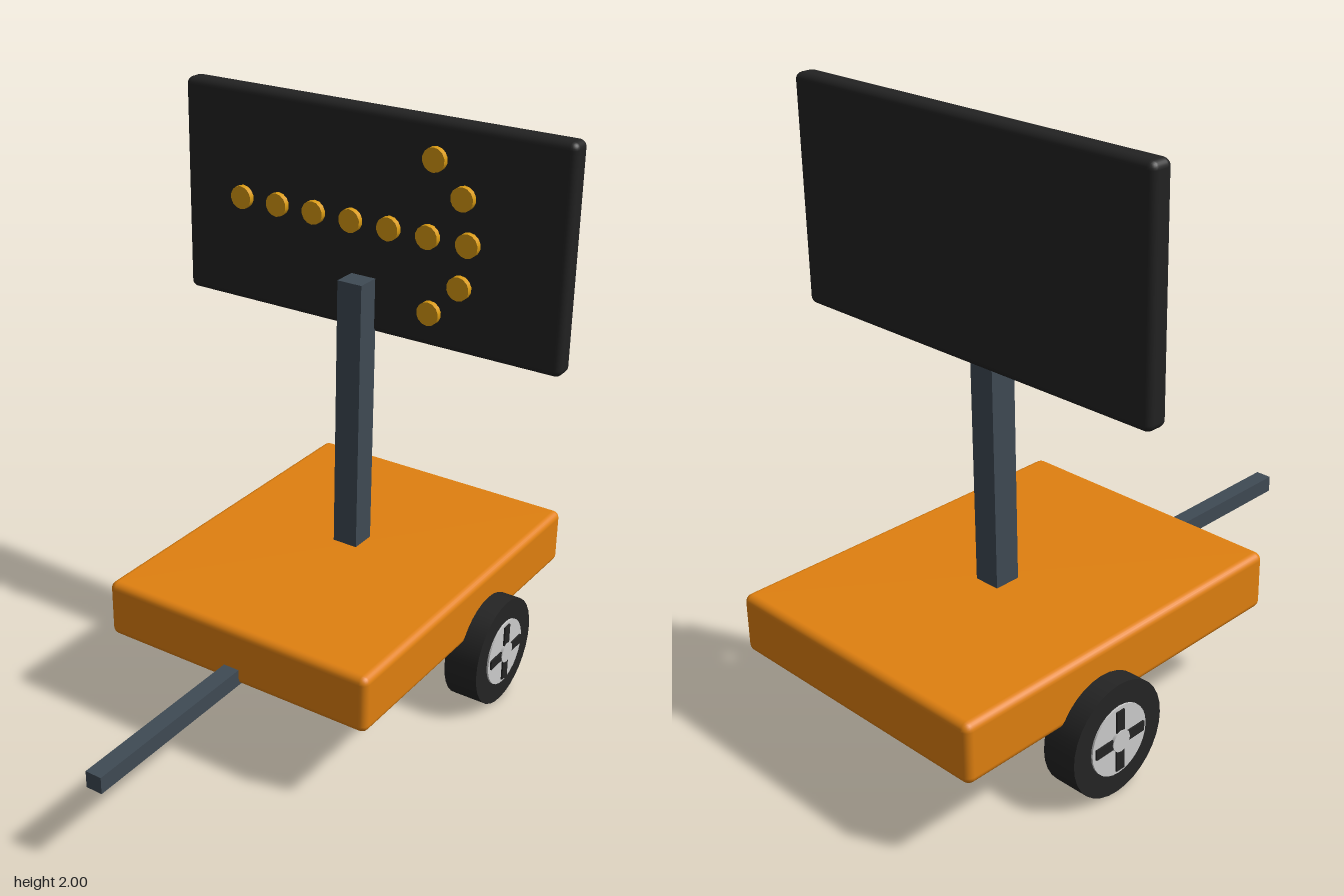
import * as THREE from 'three';
import { RoundedBoxGeometry } from 'three/addons/geometries/RoundedBoxGeometry.js';

const material = (name, color) => {
  const m = new THREE.MeshStandardMaterial({ color });
  m.name = name;
  return m;
};

export function createModel() {
  const orange = material('safety orange', 0xe08010);
  const steel = material('slate steel', 0x3f4a54);
  const black = material('panel black', 0x222222);
  const rubber = material('tyre rubber', 0x242424);
  const silver = material('wheel silver', 0xcccccc);
  const amber = material('lamp amber', 0xd99a12);

  const model = new THREE.Group();
  model.name = 'arrowBoardTrailer';

  const add = (parent, name, geometry, mat, x, y, z) => {
    const mesh = new THREE.Mesh(geometry, mat);
    mesh.name = name;
    mesh.position.set(x, y, z);
    parent.add(mesh);
    return mesh;
  };

  // Trailer body, drawbar and mast
  add(model, 'deck', new RoundedBoxGeometry(1.02, 0.203, 1.322, 3, 0.026), orange, 0, 0.376, -0.337);
  add(model, 'drawbar', new THREE.BoxGeometry(0.058, 0.058, 0.72), steel, 0, 0.304, 0.64);
  add(model, 'mast', new THREE.BoxGeometry(0.092, 0.965, 0.092), steel, 0, 0.963, -0.388);

  // Sign board
  add(model, 'signPanel', new RoundedBoxGeometry(1.44, 0.745, 0.08, 3, 0.024), black, 0, 1.6275, -0.466);

  // Lamps: a shaft of seven and two pairs for the arrow head
  const lamps = [[0.255, 1.88], [0.36, 1.773], [0.36, 1.482], [0.255, 1.375]];
  for (let i = 0; i < 7; i++) lamps.push([-0.48 + i * 0.144, 1.628]);
  const lampGeometry = new THREE.CylinderGeometry(0.04, 0.04, 0.04, 14).rotateX(Math.PI / 2);
  for (const [x, y] of lamps) add(model, 'lamp', lampGeometry, amber, x, y, -0.426);

  // Wheels: axis along x, same details on both faces
  const disc = (r, w, n) => new THREE.CylinderGeometry(r, r, w, n).rotateZ(Math.PI / 2);
  for (const side of [-1, 1]) {
    const wheel = new THREE.Group();
    wheel.name = side > 0 ? 'leftWheel' : 'rightWheel';
    wheel.position.set(side * 0.519, 0.191, -0.457);
    model.add(wheel);
    add(wheel, 'tyre', disc(0.191, 0.122, 32), rubber, 0, 0, 0);
    add(wheel, 'rim', disc(0.118, 0.134, 28), silver, 0, 0, 0);
    add(wheel, 'hubCap', disc(0.037, 0.152, 12), silver, 0, 0, 0);
    for (let i = 0; i < 4; i++) {
      const a = i * Math.PI / 2;
      const spoke = add(wheel, 'spoke', new THREE.BoxGeometry(0.146, 0.08, 0.034), rubber,
        0, Math.cos(a) * 0.065, Math.sin(a) * 0.065);
      spoke.rotation.x = a;
    }
  }
  return model;
}
